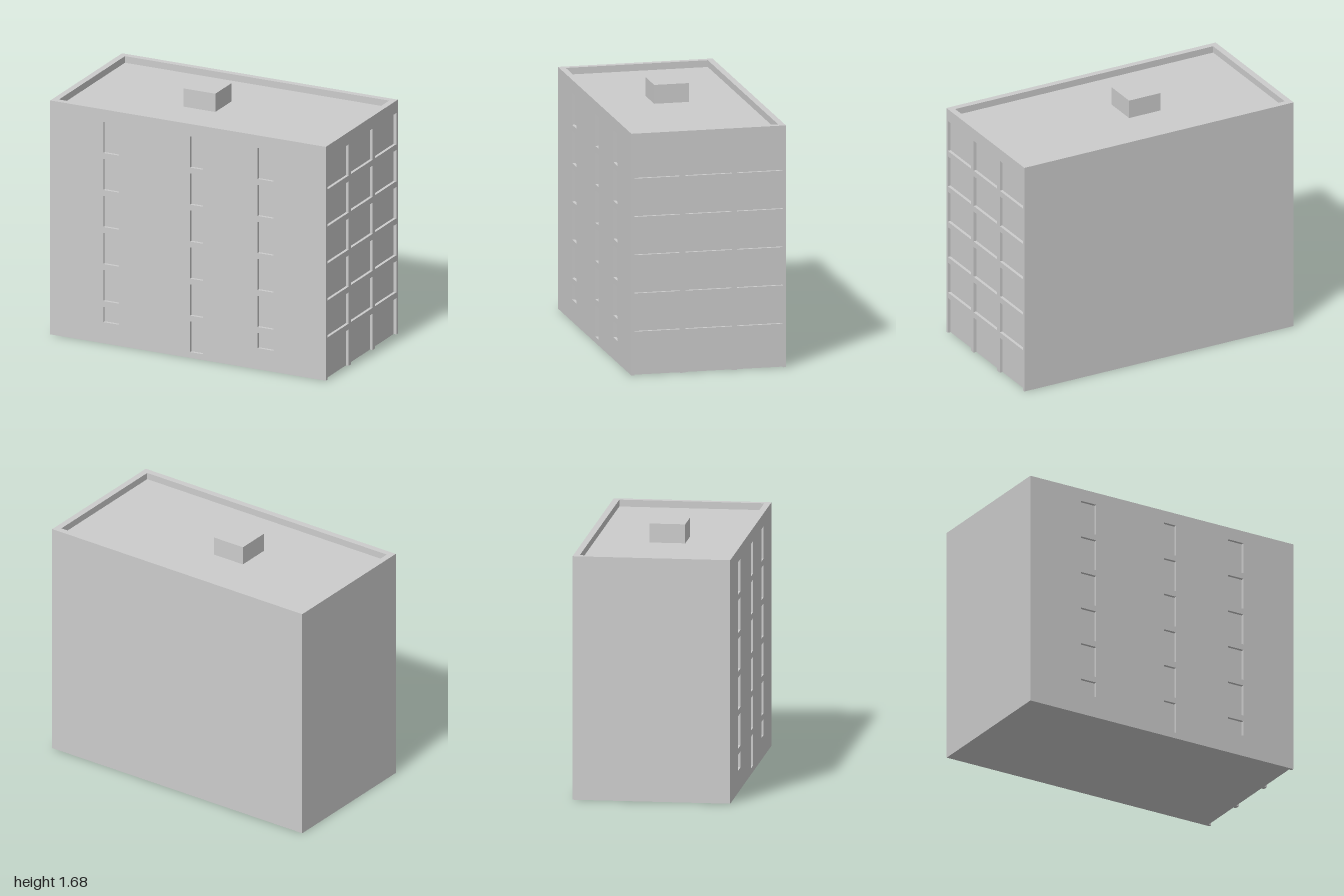
import * as THREE from 'three';

const W = 1, D = 0.515, H = 1.605;      // half width, half depth, height
const ROOF = 1.56, RECESS = 0.02, PARAPET = 0.042;
const TOP_ROW = 1.52, PITCH = 0.254, WIN_H = 0.214, FLOORS = 6;

const material = new THREE.MeshStandardMaterial({ color: 0xcccccc, flatShading: true });

function rect(Type, x0, x1, y0, y1) {
  return new Type([[x0, y0], [x1, y0], [x1, y1], [x0, y1]].map(p => new THREE.Vector2(...p)));
}

function extrude(shape, depth) {
  return new THREE.ExtrudeGeometry(shape, { depth, bevelEnabled: false });
}

function box(x0, x1, y0, y1, z0, z1) {
  return new THREE.BoxGeometry(x1 - x0, y1 - y0, z1 - z0)
    .translate((x0 + x1) / 2, (y0 + y1) / 2, (z0 + z1) / 2);
}

// Cuts a column of window openings; the lowest one can end at its own sill
function cutWindows(shape, x0, x1, floors, lastSill) {
  for (let i = 0; i < floors; i++) {
    const top = TOP_ROW - i * PITCH;
    const sill = i === FLOORS - 1 ? lastSill : top - WIN_H;
    shape.holes.push(rect(THREE.Path, x0, x1, sill, top));
  }
}

export function createModel() {
  const group = new THREE.Group();
  const add = (name, geometry) => {
    const mesh = new THREE.Mesh(geometry, material);
    mesh.name = name;
    group.add(mesh);
    return mesh;
  };

  // Outer walls, rising past the roof as a parapet
  const plan = rect(THREE.Shape, -W, W - RECESS, -D + RECESS, D);
  plan.holes.push(rect(THREE.Path, -W + PARAPET, W - PARAPET, -D + PARAPET, D - PARAPET));
  add('walls', extrude(plan, H).rotateX(-Math.PI / 2));

  // Solid core with the flat roof on top
  add('roof', box(-W + PARAPET, W - PARAPET, 0, ROOF, -D + PARAPET, D - PARAPET));

  // Front facade with three columns of narrow windows
  const front = rect(THREE.Shape, -W, W - RECESS, 0, H);
  cutWindows(front, -0.615, -0.5, FLOORS, 0.145);
  cutWindows(front, 0.015, 0.107, FLOORS, 0.04);
  cutWindows(front, 0.505, 0.62, FLOORS, 0.145);
  add('frontFacade', extrude(front, RECESS).translate(0, 0, D - RECESS));

  // Left facade: wide bays, with the ground floor bays open at the bottom
  const bays = [[-0.495, -0.19], [-0.155, 0.155], [0.19, 0.495]];
  const groundTop = TOP_ROW - (FLOORS - 1) * PITCH;
  const side = new THREE.Shape();
  side.moveTo(-D, 0);
  for (const [a, b] of bays) {
    side.lineTo(a, 0);
    side.lineTo(a, groundTop);
    side.lineTo(b, groundTop);
    side.lineTo(b, 0);
  }
  side.lineTo(D, 0);
  side.lineTo(D, H);
  side.lineTo(-D, H);
  for (const [a, b] of bays) cutWindows(side, a, b, FLOORS - 1, 0);
  add('leftFacade', extrude(side, RECESS).rotateY(Math.PI / 2).translate(W - RECESS, 0, 0));

  // Stair housing on the roof
  add('roofHousing', box(-0.235, -0.003, ROOF, 1.685, -0.115, 0.118));

  return group;
}
